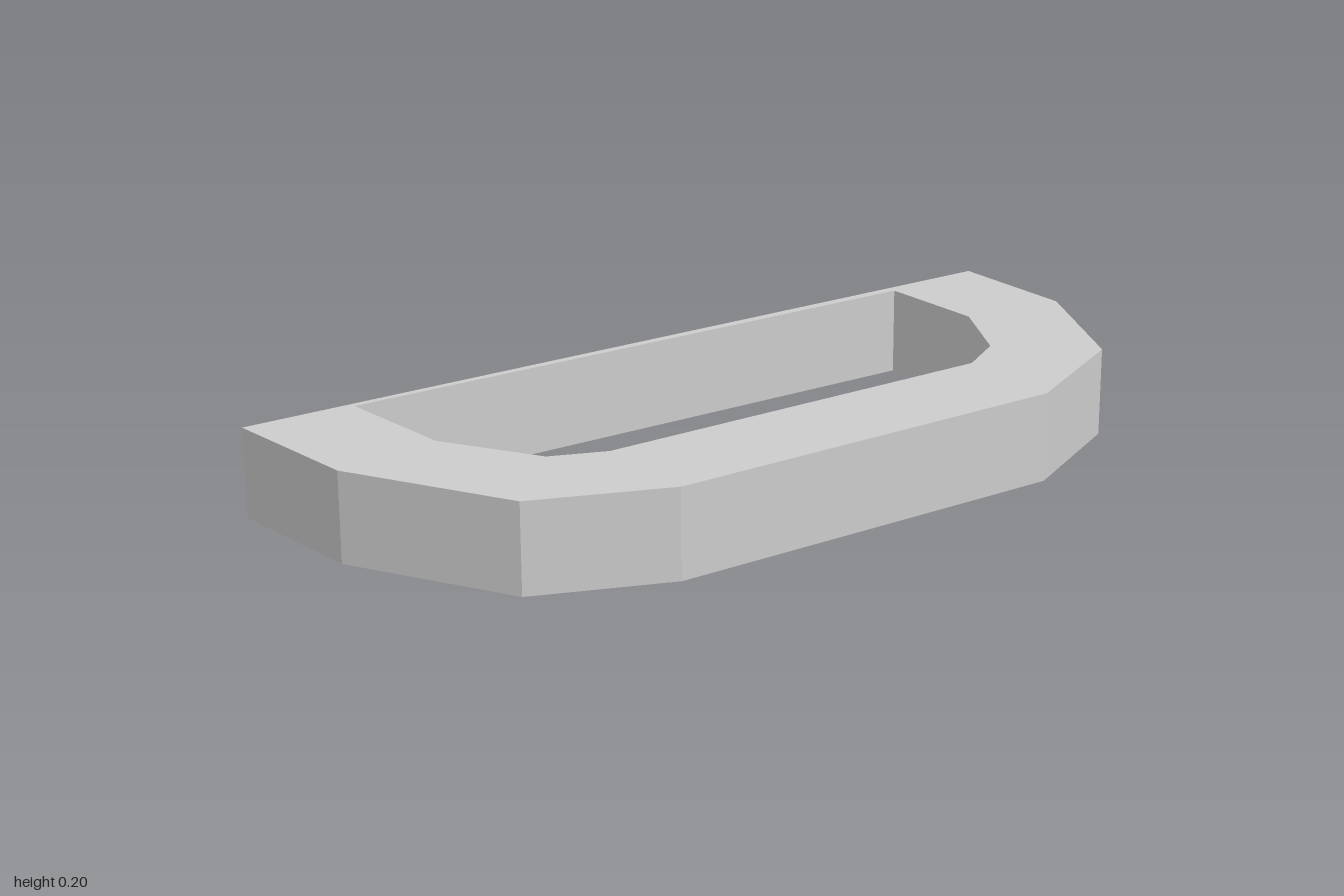
import * as THREE from 'three';

const HEIGHT = 0.205, SKIN = 0.02, WALL = 0.04;

// Plan outlines as [x, z], running round the bend from back to front
const outer = [[-0.4, -0.995], [-0.08, -1], [0.26, -0.835], [0.417, -0.527],
  [0.417, 0.45], [0.296, 0.755], [-0.07, 0.962], [-0.418, 1]];
const inner = [[-0.378, -0.74], [-0.11, -0.75], [0.09, -0.645], [0.16, -0.53],
  [0.16, 0.45], [0.11, 0.575], [-0.105, 0.71], [-0.4, 0.74]];

// Mitred offset of an outline towards the middle; its ends land on the flat mounting face
function offset(points, distance) {
  const normal = (a, b) => new THREE.Vector2(a[1] - b[1], b[0] - a[0]).normalize();
  const last = points.length - 1;
  return points.map((p, i) => {
    const n1 = normal(points[Math.max(i - 1, 0)], points[Math.max(i, 1)]);
    const n2 = normal(points[Math.min(i, last - 1)], points[Math.min(i + 1, last)]);
    const m = n1.clone().add(n2).multiplyScalar(distance / (1 + n1.dot(n2)));
    const z = p[1] + m.y;
    return [i === 0 || i === last ? -0.409 - 0.009 * z : p[0] + m.x, z];
  });
}

const toVectors = (points) => points.map(([x, z]) => new THREE.Vector2(x, -z));

// Upright prism over a plan outline; the hole winds the opposite way so its sides face inwards
function prism(points, y, height, hole) {
  const shape = new THREE.Shape(toVectors(points));
  if (hole) shape.holes.push(new THREE.Path(toVectors(hole).reverse()));
  const geometry = new THREE.ExtrudeGeometry(shape, { depth: height, bevelEnabled: false });
  return geometry.rotateX(-Math.PI / 2).translate(0, y, 0);
}

export function createModel() {
  const group = new THREE.Group();
  const material = new THREE.MeshStandardMaterial({ color: 0xcccccc, flatShading: true });
  const add = (name, geometry) => {
    const mesh = new THREE.Mesh(geometry, material);
    mesh.name = name;
    group.add(mesh);
  };

  const channelOuter = offset(outer, WALL);
  const channelInner = offset(inner, -WALL);
  const wallHeight = HEIGHT - 2 * SKIN;

  // Floor and lid of the hollow duct
  add('floor', prism(outer, 0, SKIN, inner));
  add('lid', prism(outer, HEIGHT - SKIN, SKIN, inner));

  // Outer wall of the bend
  add('outerWall', prism([...outer, ...channelOuter.slice().reverse()], SKIN, wallHeight));

  // Inner wall with the flat mounting plate, leaving a gap for the notched panel
  const x0 = 0.16, x1 = x0 + WALL, z0 = -0.2, z1 = 0.02;
  add('innerWallAndPlate', prism([
    ...channelInner.slice(0, 4), [x1, z0], [x0, z0], ...inner.slice(0, 4).reverse(),
    ...inner.slice(4).reverse(), [x0, z1], [x1, z1], ...channelInner.slice(4),
  ], SKIN, wallHeight));

  // Panel with a small tapered opening into the duct
  const v = (z, y) => new THREE.Vector2(-z, y);
  const panel = new THREE.Shape([v(z0, SKIN), v(z1, SKIN), v(z1, HEIGHT - SKIN), v(z0, HEIGHT - SKIN)]);
  panel.holes.push(new THREE.Path([v(-0.15, 0.022), v(-0.11, 0.115), v(-0.05, 0.122), v(-0.025, 0.022)]));
  add('notchedPanel', new THREE.ExtrudeGeometry(panel, { depth: WALL, bevelEnabled: false })
    .rotateY(Math.PI / 2).translate(x0, 0, 0));

  return group;
}
